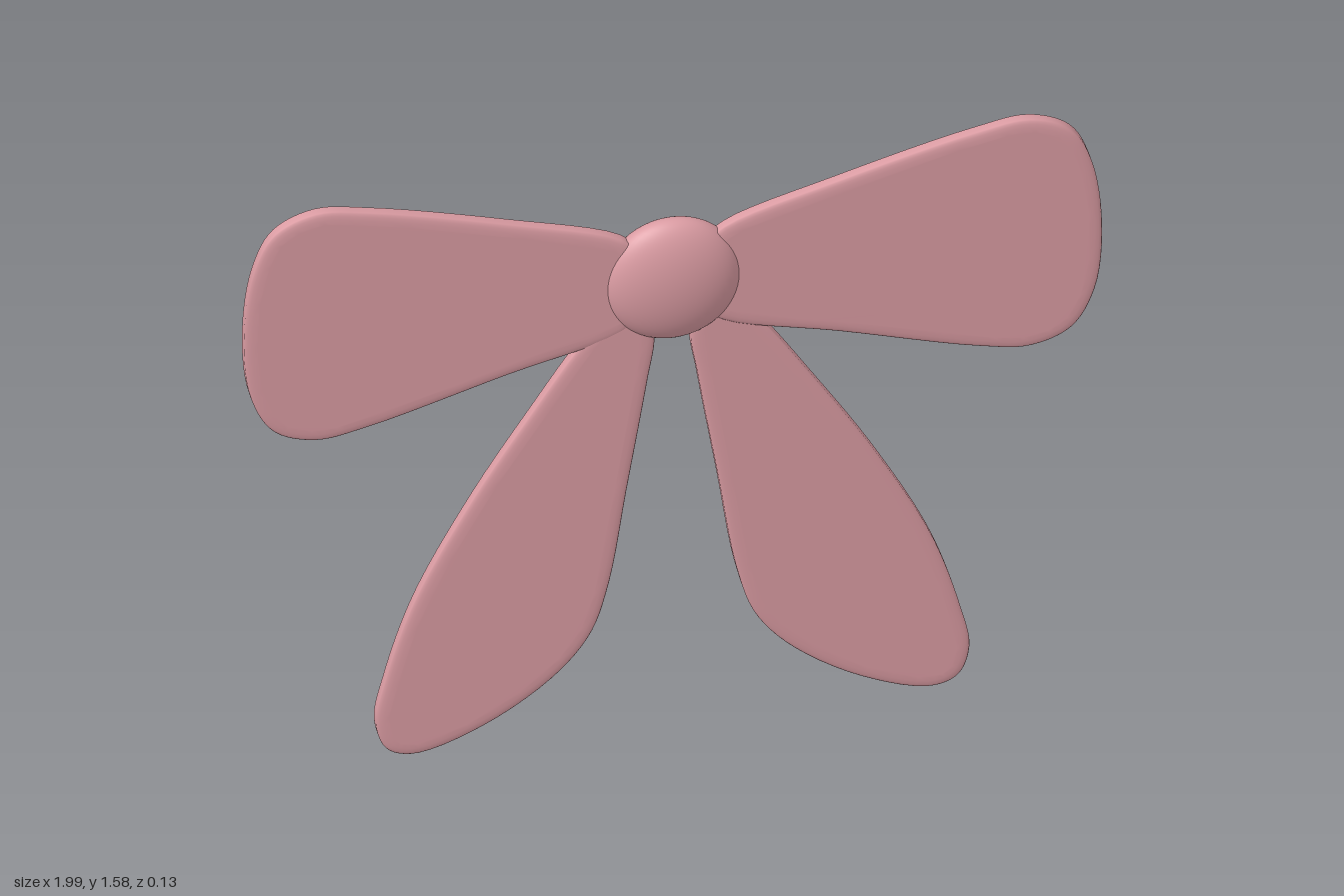
import * as THREE from 'three';
import { mergeVertices } from 'three/addons/utils/BufferGeometryUtils.js';

const material = new THREE.MeshStandardMaterial({ color: 0xdb9ca3 });

// Outlines of the parts on the +x side, as [x, y] spline points
const LOOP = [
  [0.085, 1.36], [0.12, 1.4], [0.385, 1.487], [0.706, 1.572], [0.83, 1.588], [0.925, 1.545],
  [0.973, 1.449], [0.997, 1.267], [0.98, 1.086], [0.925, 0.984], [0.83, 0.947],
  [0.717, 0.963], [0.385, 1.06], [0.12, 1.135], [0.085, 1.17],
];
const TAIL = [
  [0.06, 1.17], [0.043, 1.107], [0.06, 0.98], [0.107, 0.685], [0.15, 0.417], [0.193, 0.283],
  [0.278, 0.176], [0.44, 0.064], [0.6, 0.01], [0.663, 0.032], [0.69, 0.107],
  [0.668, 0.23], [0.6, 0.444], [0.465, 0.71], [0.33, 0.93], [0.214, 1.107], [0.16, 1.17],
];

// Thin slab with a soft rim and normals blended across its edges
function ribbon(name, outline, side, z, dy = 0) {
  const curve = new THREE.CatmullRomCurve3(
    outline.map(([x, y]) => new THREE.Vector3(side * x, y + dy, 0)), true);
  const points = curve.getPoints(90).slice(0, -1).map((p) => new THREE.Vector2(p.x, p.y));
  const depth = 0.022, bevel = 0.007;
  const geometry = new THREE.ExtrudeGeometry(new THREE.Shape(points), {
    depth, bevelEnabled: true, bevelThickness: bevel, bevelSize: 0.03, bevelOffset: -0.03,
    bevelSegments: 4, steps: 1,
  });
  geometry.translate(0, 0, z - depth / 2);
  geometry.deleteAttribute('uv');
  geometry.deleteAttribute('normal');
  const smooth = mergeVertices(geometry, 1e-5);
  smooth.computeVertexNormals();
  const mesh = new THREE.Mesh(smooth, material);
  mesh.name = name;
  return mesh;
}

export function createModel() {
  const bow = new THREE.Group();
  bow.name = 'bow';

  // Loops and hanging tails, left and right
  bow.add(ribbon('leftLoop', LOOP, 1, 0));
  bow.add(ribbon('rightLoop', LOOP, -1, -0.001));
  bow.add(ribbon('leftTail', TAIL, 1, -0.007));
  bow.add(ribbon('rightTail', TAIL, -1, -0.003, 0.006));

  // Flattened round knot
  const knot = new THREE.Mesh(new THREE.SphereGeometry(1, 48, 32), material);
  knot.name = 'knot';
  knot.scale.set(0.16, 0.165, 0.066);
  knot.position.set(0, 1.266, -0.002);
  bow.add(knot);

  return bow;
}
